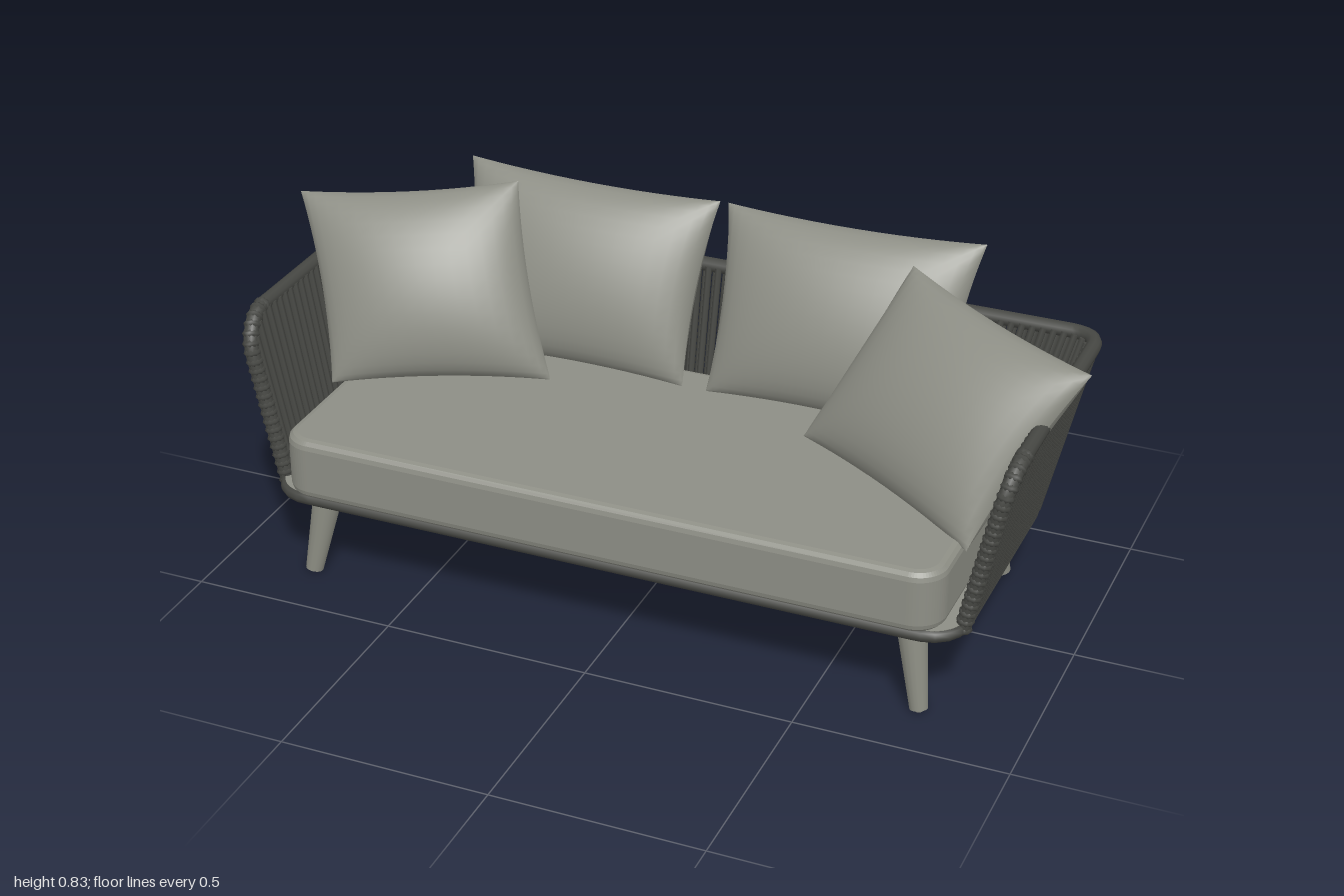
import * as THREE from 'three';
import { mergeGeometries } from 'three/addons/utils/BufferGeometryUtils.js';

const V = (x, y, z) => new THREE.Vector3(x, y, z);
const lerp = THREE.MathUtils.lerp;
const material = (name, color) => {
  const m = new THREE.MeshStandardMaterial({ color });
  m.name = name;
  return m;
};

function add(parent, name, geometry, mat) {
  const mesh = new THREE.Mesh(geometry, mat);
  mesh.name = name;
  parent.add(mesh);
  return mesh;
}

// Tapered rod between two points
function rod(a, b, ra, rb, sides) {
  const dir = b.clone().sub(a);
  const g = new THREE.CylinderGeometry(rb, ra, dir.length(), sides);
  g.applyQuaternion(new THREE.Quaternion().setFromUnitVectors(V(0, 1, 0), dir.normalize()));
  const mid = a.clone().lerp(b, 0.5);
  return g.translate(mid.x, mid.y, mid.z);
}

function roundedRect(hw, hd, r) {
  const s = new THREE.Shape();
  s.absarc(hw - r, hd - r, r, 0, Math.PI / 2);
  s.absarc(-hw + r, hd - r, r, Math.PI / 2, Math.PI);
  s.absarc(-hw + r, -hd + r, r, Math.PI, Math.PI * 1.5);
  s.absarc(hw - r, -hd + r, r, Math.PI * 1.5, Math.PI * 2);
  s.closePath();
  return s;
}

// Woven shell dimensions: the walls flare out from the base to the rail
const Y0 = 0.215, Y1 = 0.619, FRONT = 0.31, ARCH = 0.09;
const halfWidth = f => lerp(0.84, 0.928, f);
const backZ = f => lerp(-0.291, -0.385, f);

// Open U-shaped plan of the shell at height fraction f, optionally inset
function wallPath(f, inset = 0) {
  const w = halfWidth(f) - inset, b = backZ(f) + inset, r = 0.07, y = lerp(Y0, Y1, f);
  const path = new THREE.CurvePath();
  path.add(new THREE.LineCurve3(V(w, y, FRONT), V(w, y, b + r)));
  path.add(new THREE.QuadraticBezierCurve3(V(w, y, b + r), V(w, y, b), V(w - r, y, b)));
  path.add(new THREE.LineCurve3(V(w - r, y, b), V(-w + r, y, b)));
  path.add(new THREE.QuadraticBezierCurve3(V(-w + r, y, b), V(-w, y, b), V(-w, y, b + r)));
  path.add(new THREE.LineCurve3(V(-w, y, b + r), V(-w, y, FRONT)));
  return path;
}

// Height of the rail, which arches down to the front posts
function railHeight(z) {
  const d = (z - (FRONT - ARCH)) / ARCH;
  return d <= 0 ? Y1 : Y1 - ARCH + ARCH * Math.sqrt(Math.max(0, 1 - d * d));
}

function railCurve() {
  const arm = [];
  for (let i = 0; i < 6; i++) {
    const y = lerp(Y0, Y1 - ARCH, i / 6);
    arm.push(V(halfWidth((y - Y0) / (Y1 - Y0)), y, FRONT));
  }
  for (let i = 0; i <= 6; i++) {
    const a = i / 6 * Math.PI / 2;
    const y = Y1 - ARCH + ARCH * Math.sin(a);
    arm.push(V(halfWidth((y - Y0) / (Y1 - Y0)), y, FRONT - ARCH + ARCH * Math.cos(a)));
  }
  const middle = wallPath(1).getSpacedPoints(150).filter(p => p.z < FRONT - ARCH - 0.02);
  const other = arm.map(p => V(-p.x, p.y, p.z)).reverse();
  return new THREE.CatmullRomCurve3([...arm, ...middle, ...other]);
}

// Rope strands between base and rail; phase shifts them by part of a step
function strandLayer(inset, phase) {
  const low = wallPath(0, inset), high = wallPath(1, inset), strands = [], total = 124;
  for (let i = 1; i < total; i++) {
    const t = (i + phase) / total;
    const a = low.getPointAt(t), b = high.getPointAt(t);
    const f = (railHeight(b.z) - Y0) / (Y1 - Y0);
    strands.push(rod(a, a.clone().lerp(b, f), 0.0083, 0.0083, 6));
  }
  return mergeGeometries(strands);
}

// Pillow stretched between four corners, with pinched edges and a plump middle
function pillow(tl, tr, br, bl, front, back) {
  const n = tr.clone().sub(tl).add(br).sub(bl)
    .cross(tl.clone().sub(bl).add(tr).sub(br)).normalize();
  const half = (side, thick) => {
    const g = new THREE.PlaneGeometry(2, 2, 18, 18);
    const p = g.attributes.position;
    for (let i = 0; i < p.count; i++) {
      // Ease the grid towards the edges so the rounding stays smooth
      const u0 = Math.sin(p.getX(i) * Math.PI / 2) * side;
      const v0 = Math.sin(p.getY(i) * Math.PI / 2);
      const u = u0 * (1 - 0.055 * (1 - v0 * v0));
      const v = v0 * (1 - 0.055 * (1 - u0 * u0));
      const top = tl.clone().lerp(tr, (u + 1) / 2);
      const q = bl.clone().lerp(br, (u + 1) / 2).lerp(top, (v + 1) / 2);
      const bulge = Math.pow(Math.max(0, (1 - u0 * u0) * (1 - v0 * v0)), 0.5);
      q.addScaledVector(n, side * thick * bulge);
      p.setXYZ(i, q.x, q.y, q.z);
    }
    g.computeVertexNormals();
    return g;
  };
  return mergeGeometries([half(1, front), half(-1, back)]);
}

export function createModel() {
  const model = new THREE.Group();
  model.name = 'sofa';
  const fabric = material('grey fabric', 0x8d8e85);
  const legMat = material('leg grey', 0x8a8b81);
  const rope = material('dark rope', 0x464743);

  const frame = new THREE.Group();
  frame.name = 'frame';
  frame.position.x = -0.017;
  model.add(frame);

  // Base panel and its rope rim
  const base = new THREE.ExtrudeGeometry(roundedRect(0.842, 0.332, 0.08), { depth: 0.025, bevelEnabled: false });
  base.rotateX(-Math.PI / 2).translate(0, 0.205, 0.043);
  add(frame, 'basePanel', base, fabric);
  const rimPoints = roundedRect(0.84, 0.333, 0.08).getSpacedPoints(120).slice(0, -1)
    .map(p => V(p.x, Y0, 0.041 - p.y));
  add(frame, 'baseRim', new THREE.TubeGeometry(new THREE.CatmullRomCurve3(rimPoints, true), 160, 0.015, 8, true), rope);

  // Top rail with arched front posts
  const rail = railCurve();
  add(frame, 'rail', new THREE.TubeGeometry(rail, 260, 0.018, 10), rope);

  // Rope coils around the posts and their arches
  const wraps = [];
  const count = Math.round(rail.getLength() / 0.022);
  for (let i = 0; i <= count; i++) {
    const p = rail.getPointAt(i / count);
    if (p.z < FRONT - ARCH) continue;
    const g = new THREE.TorusGeometry(0.012, 0.0095, 6, 9);
    g.applyQuaternion(new THREE.Quaternion().setFromUnitVectors(V(0, 0, 1), rail.getTangentAt(i / count)));
    wraps.push(g.translate(p.x, p.y, p.z));
  }
  add(frame, 'postWrap', mergeGeometries(wraps), rope);

  // Strands pass down both the outside and the inside of the rail
  add(frame, 'outerStrands', strandLayer(-0.006, 0), rope);
  add(frame, 'innerStrands', strandLayer(0.014, 0.5), rope);

  // Splayed tapered legs with small glides
  for (const x of [-1, 1]) {
    for (const [name, zTop, zFoot] of [['frontLeg', 0.318, 0.348], ['backLeg', -0.245, -0.277]]) {
      add(frame, name, rod(V(x * 0.76, 0.006, zFoot), V(x * 0.725, 0.212, zTop), 0.021, 0.036, 16), legMat);
      add(frame, name + 'Glide', rod(V(x * 0.76, 0, zFoot), V(x * 0.76, 0.01, zFoot), 0.01, 0.01, 10), legMat);
    }
  }

  // Seat cushion with a softly bulging side
  const seat = new THREE.ExtrudeGeometry(roundedRect(0.785, 0.322, 0.05), {
    depth: 0.11, bevelSize: 0.022, bevelThickness: 0.022, bevelSegments: 3, curveSegments: 8,
  });
  seat.rotateX(-Math.PI / 2).translate(0, 0.248, 0.054);
  add(frame, 'seatCushion', seat, fabric);

  // Two back pillows and two angled side pillows
  add(model, 'backPillowRight', pillow(V(-0.67, 0.815, -0.35), V(-0.02, 0.805, -0.355),
    V(-0.04, 0.395, -0.17), V(-0.62, 0.395, -0.16), 0.1, 0.125), fabric);
  add(model, 'backPillowLeft', pillow(V(0, 0.805, -0.355), V(0.64, 0.815, -0.35),
    V(0.6, 0.395, -0.16), V(0.02, 0.395, -0.17), 0.1, 0.125), fabric);
  add(model, 'sidePillowRight', pillow(V(-1, 0.775, -0.08), V(-0.49, 0.828, -0.23),
    V(-0.34, 0.4, -0.07), V(-0.83, 0.385, 0.12), 0.105, 0.1), fabric);
  add(model, 'sidePillowLeft', pillow(V(0.5, 0.785, -0.24), V(1, 0.742, 0.04),
    V(0.8, 0.365, 0.24), V(0.32, 0.41, -0.03), 0.105, 0.115), fabric);

  return model;
}
